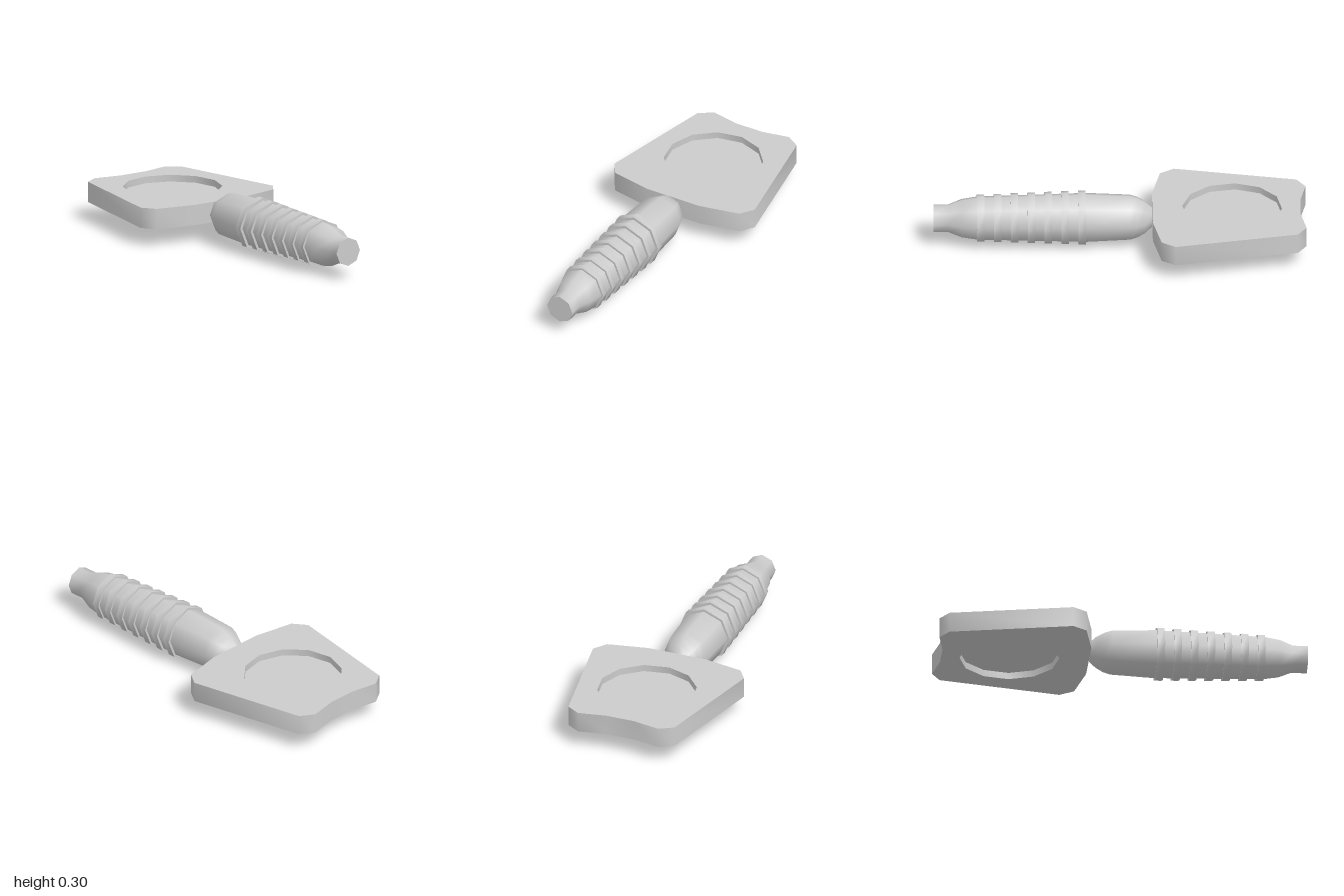
import * as THREE from 'three';
import { toCreasedNormals } from 'three/addons/utils/BufferGeometryUtils.js';

const material = new THREE.MeshStandardMaterial({ color: 0xcccccc });
const CREASE = 0.85;

function addPart(group, name, geometry) {
  const mesh = new THREE.Mesh(toCreasedNormals(geometry, CREASE), material);
  mesh.name = name;
  group.add(mesh);
}

// Eight-sided turned part along z, from [radius, z] pairs running back to front
function turned(profile) {
  const points = profile.map(([r, z]) => new THREE.Vector2(r, z));
  return new THREE.LatheGeometry(points, 8).rotateX(Math.PI / 2).translate(-0.006, 0.152, 0);
}

// Flat slab drawn in x/z, hanging down from the given top height
function slab(shape, top, depth) {
  return new THREE.ExtrudeGeometry(shape, { depth, bevelEnabled: false })
    .rotateX(Math.PI / 2).translate(0, top, 0);
}

export function createModel() {
  const group = new THREE.Group();

  // Head: tapered plate with chamfered corners and a scooped far edge
  const half = [[0.08, -0.97], [0.233, -1], [0.309, -0.952], [0.439, -0.295], [0.388, -0.22], [0.165, -0.175]];
  const outline = [...half, ...half.map(([x, z]) => [-x, z]).reverse()];
  const plate = new THREE.Shape(outline.map(([x, z]) => new THREE.Vector2(x, z)));

  // Twelve-sided opening, closed by a thin panel recessed from both faces
  const circle = [];
  for (let i = 0; i < 12; i++) {
    const a = (i / 12) * Math.PI * 2 + 0.07;
    circle.push(new THREE.Vector2(-0.003 + 0.268 * Math.cos(a), -0.603 + 0.268 * Math.sin(a)));
  }
  plate.holes.push(new THREE.Path(circle));
  addPart(group, 'headFrame', slab(plate, 0.21, 0.112));
  addPart(group, 'recessedPanel', slab(new THREE.Shape(circle), 0.173, 0.038));

  // Handle with rounded shoulder and narrow butt
  addPart(group, 'handle', turned([
    [0, -0.172], [0.055, -0.172], [0.09, -0.135], [0.113, -0.095], [0.126, -0.055],
    [0.137, 0.18], [0.121, 0.765], [0.107, 0.85], [0.078, 0.92], [0.078, 1], [0, 1],
  ]));

  // Grip rings shrinking toward the butt
  for (let i = 0; i < 7; i++) {
    const z = 0.184 + i * 0.0905;
    const r = 0.151 - i * 0.0032;
    addPart(group, 'gripRing' + (i + 1), turned([[0.115, z], [r, z], [r, z + 0.04], [0.115, z + 0.04]]));
  }
  return group;
}
